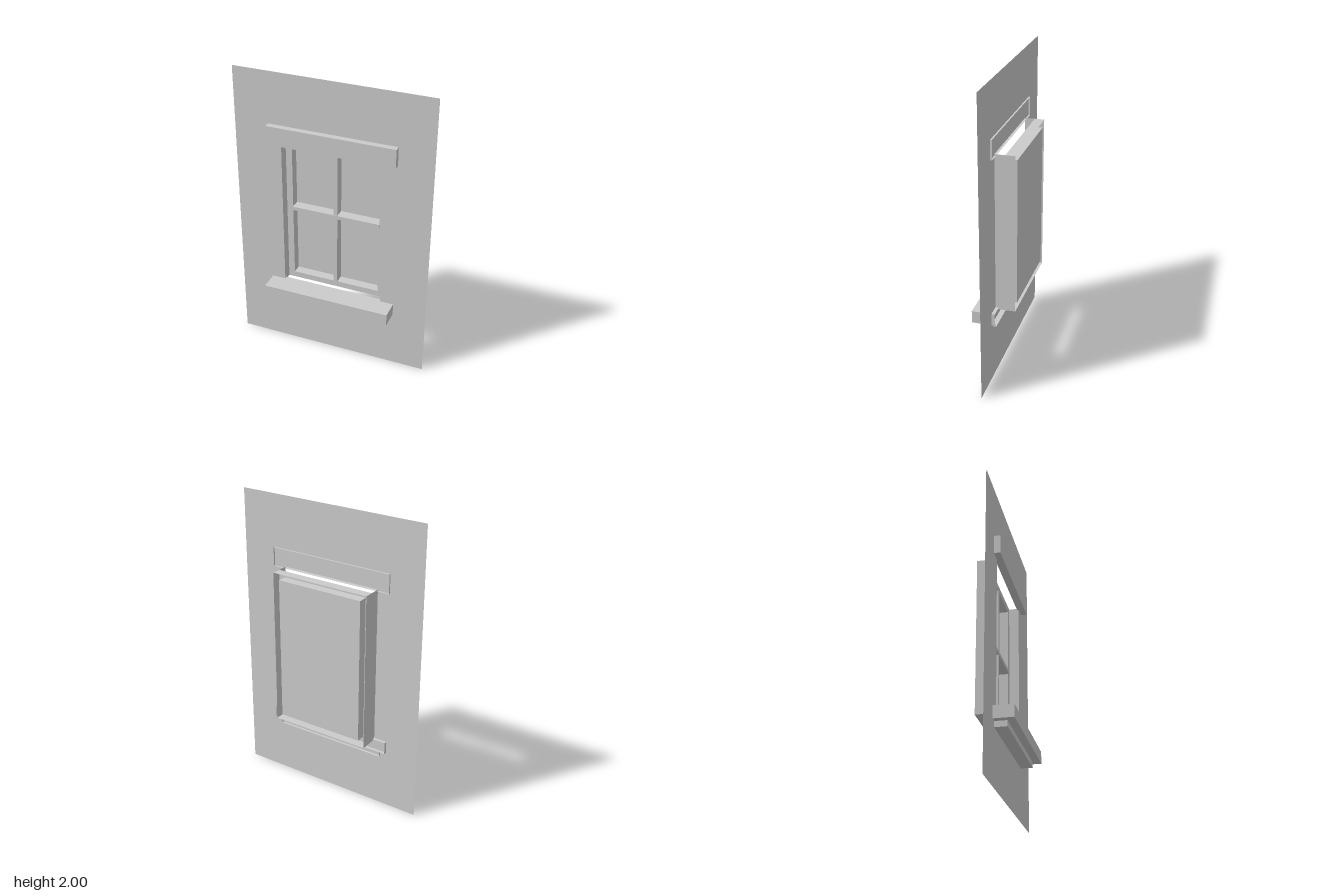
import * as THREE from 'three';

const material = new THREE.MeshStandardMaterial({ color: 0xcccccc, side: THREE.DoubleSide });

// Opening and inner frame edges, measured from the window centre
const CY = 1.0;
const OUT = { x: 0.347, y: 0.528 };
const INN = { x: 0.304, y: 0.487 };
const BACK = -0.13, FRONT = -0.067;

function add(parent, name, geometry) {
  const mesh = new THREE.Mesh(geometry, material);
  mesh.name = name;
  parent.add(mesh);
  return mesh;
}

// Box given by its limits, left open at the back
function openBox(parent, name, x, y0, y1, z0, z1) {
  const g = new THREE.BoxGeometry(2 * x, y1 - y0, z1 - z0);
  g.setIndex(Array.from(g.index.array).slice(0, 30));
  g.clearGroups();
  g.translate(0, (y0 + y1) / 2, (z0 + z1) / 2);
  return add(parent, name, g);
}

function trace(path, x, y0, y1) {
  path.moveTo(-x, y0);
  path.lineTo(x, y0);
  path.lineTo(x, y1);
  path.lineTo(-x, y1);
  path.closePath();
  return path;
}

// Flat panel with a rectangular hole
function panelWithHole(x, y0, y1, hole) {
  const shape = trace(new THREE.Shape(), x, y0, y1);
  shape.holes.push(trace(new THREE.Path(), hole.x, CY - hole.y, CY + hole.y));
  return new THREE.ShapeGeometry(shape);
}

// Upright strip on one side, facing out (+1) or in (-1) along x
function sideStrip(parent, name, side, facing, edge, z0, z1) {
  const g = new THREE.PlaneGeometry(z1 - z0, 2 * edge.y);
  g.rotateY(side * facing * Math.PI / 2);
  g.translate(side * edge.x, CY, (z0 + z1) / 2);
  add(parent, name, g);
}

// Level strip above or below, facing out (+1) or in (-1) along y
function levelStrip(parent, name, side, facing, edge, z0, z1) {
  const g = new THREE.PlaneGeometry(2 * edge.x, z1 - z0);
  g.rotateX(-side * facing * Math.PI / 2);
  g.translate(0, CY + side * edge.y, (z0 + z1) / 2);
  add(parent, name, g);
}

export function createModel() {
  const model = new THREE.Group();
  model.name = 'windowWall';

  // Wall sheet with the window opening
  add(model, 'wall', panelWithHole(0.665, 0, 2, OUT));

  // Lintel above, sill and apron below
  openBox(model, 'lintel', 0.432, 1.52, 1.647, -0.011, 0.041);
  openBox(model, 'sill', 0.439, 0.403, 0.485, -0.022, 0.13);
  openBox(model, 'sillApron', 0.395, 0.365, 0.403, -0.016, 0.08);

  // Hollow frame, open at the back; its sides run forward to the wall
  const frame = new THREE.Group();
  frame.name = 'windowFrame';
  model.add(frame);
  add(frame, 'frameFace', panelWithHole(OUT.x, CY - OUT.y, CY + OUT.y, INN)).position.z = FRONT;
  for (const side of [-1, 1]) {
    sideStrip(frame, 'frameSide', side, 1, OUT, BACK, 0);
    levelStrip(frame, 'frameEnd', side, 1, OUT, BACK, FRONT);
    sideStrip(frame, 'frameInnerSide', side, -1, INN, BACK, FRONT);
    levelStrip(frame, 'frameInnerEnd', side, -1, INN, BACK, FRONT);
  }

  // Glass across the back and the crossing glazing bars
  const glass = add(model, 'glass', new THREE.PlaneGeometry(2 * INN.x, 2 * INN.y));
  glass.position.set(0, CY, BACK);
  openBox(model, 'verticalBar', 0.013, CY - INN.y, CY + INN.y, BACK, -0.063);
  openBox(model, 'horizontalBar', INN.x, 1.011, 1.037, BACK, -0.06);

  return model;
}
